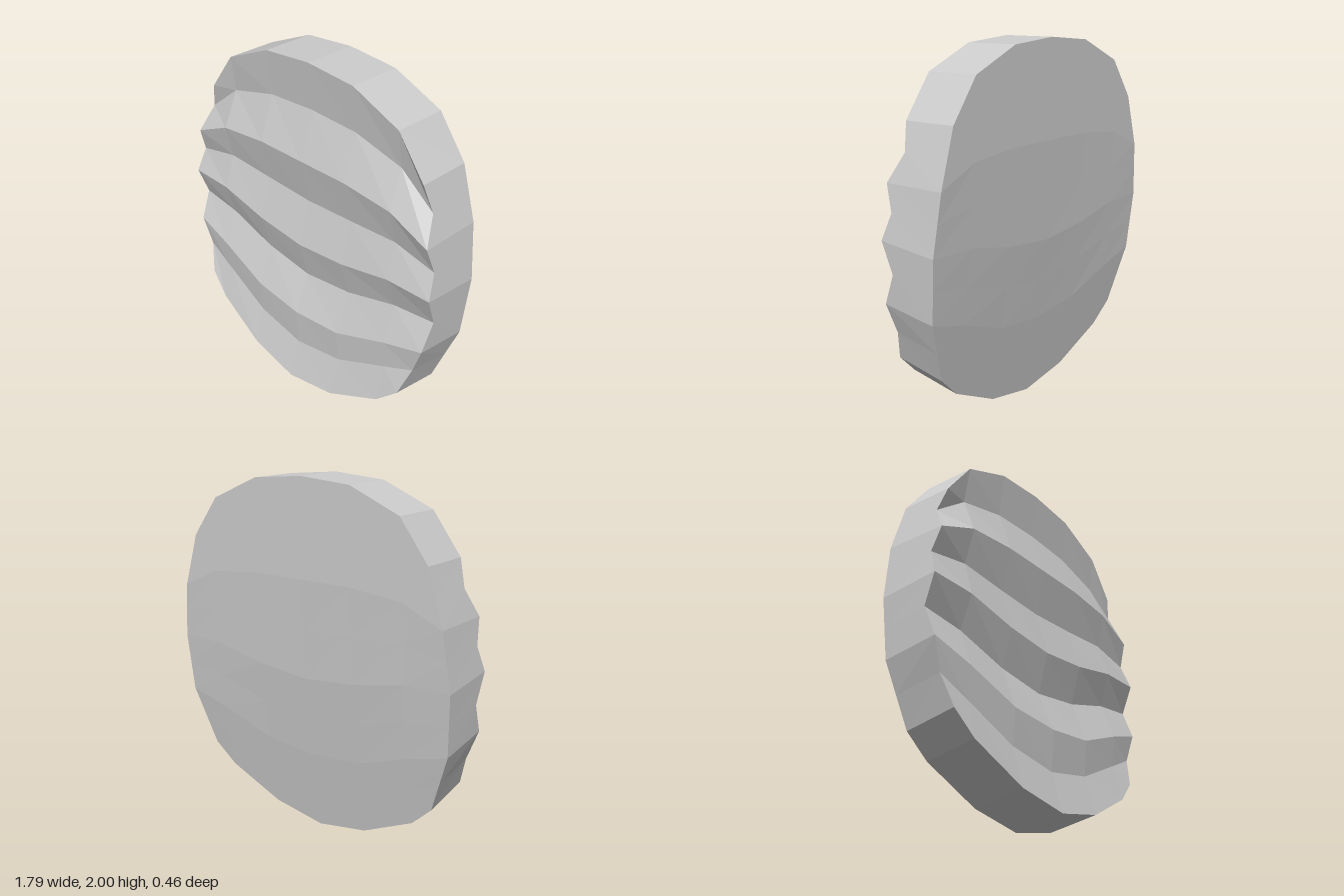
import * as THREE from 'three';

// Front rows, top to bottom: inner x pair, rim x, heights from centre to rim, depth at centre and rim
const FRONT = [
  { x: [0.305, 0.6, 0.765], y: [2.0, 1.975, 1.85, 1.63], z: [0.075, 0.075] },
  { x: [0.305, 0.605, 0.81], y: [1.735, 1.72, 1.645, 1.485], z: [0.045, 0.045] },
  { x: [0.31, 0.615, 0.855], y: [1.47, 1.47, 1.44, 1.335], z: [0.13, 0.128] },
  { x: [0.31, 0.62, 0.875], y: [1.21, 1.225, 1.245, 1.195], z: [0.075, 0.083] },
  { x: [0.315, 0.63, 0.897], y: [0.955, 0.985, 1.05, 1.055], z: [0.145, 0.135] },
  { x: [0.315, 0.635, 0.89], y: [0.73, 0.77, 0.86, 0.89], z: [0.087, 0.073] },
  { x: [0.315, 0.64, 0.88], y: [0.505, 0.535, 0.655, 0.725], z: [0.18, 0.14] },
  { x: [0.315, 0.64, 0.82], y: [0.28, 0.335, 0.48, 0.56], z: [0.165, 0.125] },
  { x: [0.315, 0.64, 0.765], y: [0.055, 0.115, 0.275, 0.395], z: [0.23, 0.172] },
];
const DEPTH_BLEND = [0, 0.17, 0.65, 1];
const DROP = [0, 0, 0, 0.015, 0.035, 0.04, 0.045, 0.05, 0.053];

// Depth of the gently curved back at a given height
const BACK = [[0, -0.065], [0.345, -0.12], [0.68, -0.175], [1.02, -0.205], [1.335, -0.226], [2.01, -0.226]];
function backDepth(y) {
  const i = Math.max(1, BACK.findIndex(([h]) => y <= h));
  const [[y0, z0], [y1, z1]] = [BACK[i - 1], BACK[i]];
  return z0 + (z1 - z0) * (y - y0) / (y1 - y0);
}

// Mirror a half row into seven points, from -x to +x
function mirrorRow(half) {
  const left = half.slice(1).reverse().map(([x, y, z]) => [-x, y, z]);
  return [...left, ...half];
}

const frontHalf = (r) => r.y.map((y, c) =>
  [c ? r.x[c - 1] : 0, y, THREE.MathUtils.lerp(r.z[0], r.z[1], DEPTH_BLEND[c])]);

// Back rows follow the ridges; rows behind grooves lie midway between their neighbours
function backHalf(i) {
  if (i % 2) {
    const a = backHalf(i - 1), b = backHalf(i + 1);
    return a.map((p, c) => p.map((v, k) => (v + b[c][k]) / 2));
  }
  return FRONT[i].y.map((y, c) => {
    const h = Math.max(0, y - DROP[i]);
    return [c ? FRONT[i].x[c - 1] : 0, h, backDepth(h)];
  });
}

function createRibbedDisc() {
  const front = FRONT.map((r) => mirrorRow(frontHalf(r)));
  const back = FRONT.map((r, i) => mirrorRow(backHalf(i)));
  const rows = front.length, cols = 7;
  const positions = [...front.flat(), ...back.flat()].flat();
  const F = (r, c) => r * cols + c;
  const B = (r, c) => rows * cols + r * cols + c;
  const index = [];
  const quad = (a, b, c, d) => index.push(a, b, c, a, c, d);

  // Ribbed front and curved back
  for (let r = 0; r < rows - 1; r++) {
    for (let c = 0; c < cols - 1; c++) {
      quad(F(r, c), F(r + 1, c), F(r + 1, c + 1), F(r, c + 1));
      quad(B(r, c), B(r, c + 1), B(r + 1, c + 1), B(r + 1, c));
    }
    // Side walls
    quad(F(r, cols - 1), F(r + 1, cols - 1), B(r + 1, cols - 1), B(r, cols - 1));
    quad(F(r, 0), B(r, 0), B(r + 1, 0), F(r + 1, 0));
  }
  // Top and bottom walls
  for (let c = 0; c < cols - 1; c++) {
    quad(F(0, c), F(0, c + 1), B(0, c + 1), B(0, c));
    quad(F(rows - 1, c), B(rows - 1, c), B(rows - 1, c + 1), F(rows - 1, c + 1));
  }

  const geometry = new THREE.BufferGeometry();
  geometry.setAttribute('position', new THREE.Float32BufferAttribute(positions, 3));
  geometry.setIndex(index);
  const flat = geometry.toNonIndexed();
  flat.computeVertexNormals();
  return flat;
}

export function createModel() {
  const group = new THREE.Group();
  group.name = 'ribbedPlate';
  const material = new THREE.MeshStandardMaterial({ color: 0xcccccc, flatShading: true });
  const disc = new THREE.Mesh(createRibbedDisc(), material);
  disc.name = 'ribbedDisc';
  group.add(disc);
  return group;
}
